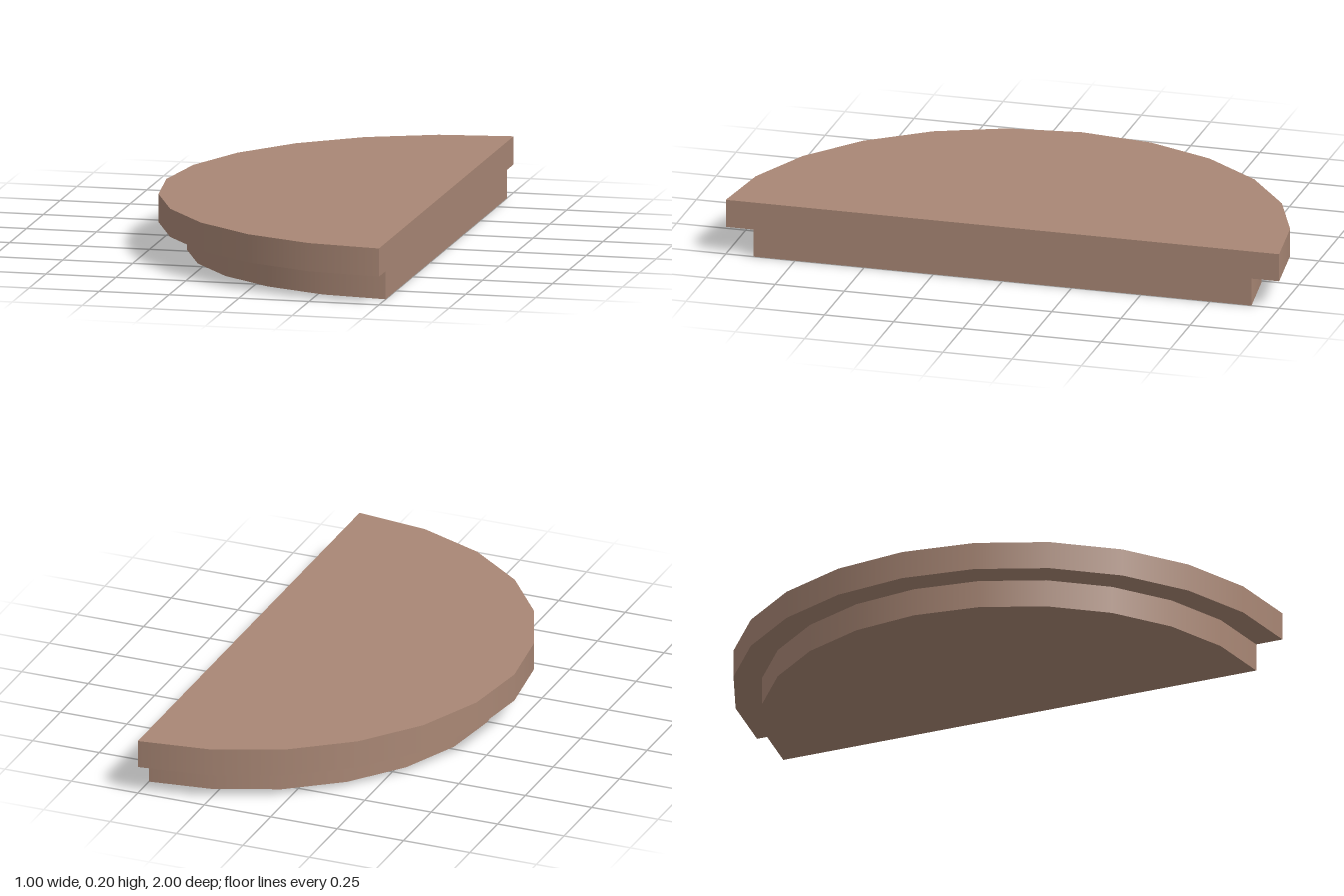
import * as THREE from 'three';

const HEIGHT = 0.1;

// Half disc bulging toward -x, closed by a flat wall facing +x
function halfDisc(name, radius, baseY, material) {
  const group = new THREE.Group();
  group.name = name;

  const disc = new THREE.Mesh(
    new THREE.CylinderGeometry(radius, radius, HEIGHT, 12, 1, false, Math.PI, Math.PI),
    material
  );
  disc.name = name + 'Body';

  const wall = new THREE.Mesh(new THREE.PlaneGeometry(radius * 2, HEIGHT), material);
  wall.name = name + 'FlatSide';
  wall.rotation.y = Math.PI / 2;

  group.add(disc, wall);
  group.position.set(0.5, baseY + HEIGHT / 2, 0);
  return group;
}

export function createModel() {
  const clay = new THREE.MeshStandardMaterial({ color: 0xa98775 });
  clay.name = 'clayBrown';

  const model = new THREE.Group();
  model.name = 'halfRoundStep';
  model.add(
    halfDisc('lowerStep', 0.9, 0, clay),
    halfDisc('upperStep', 1, HEIGHT, clay)
  );
  return model;
}
